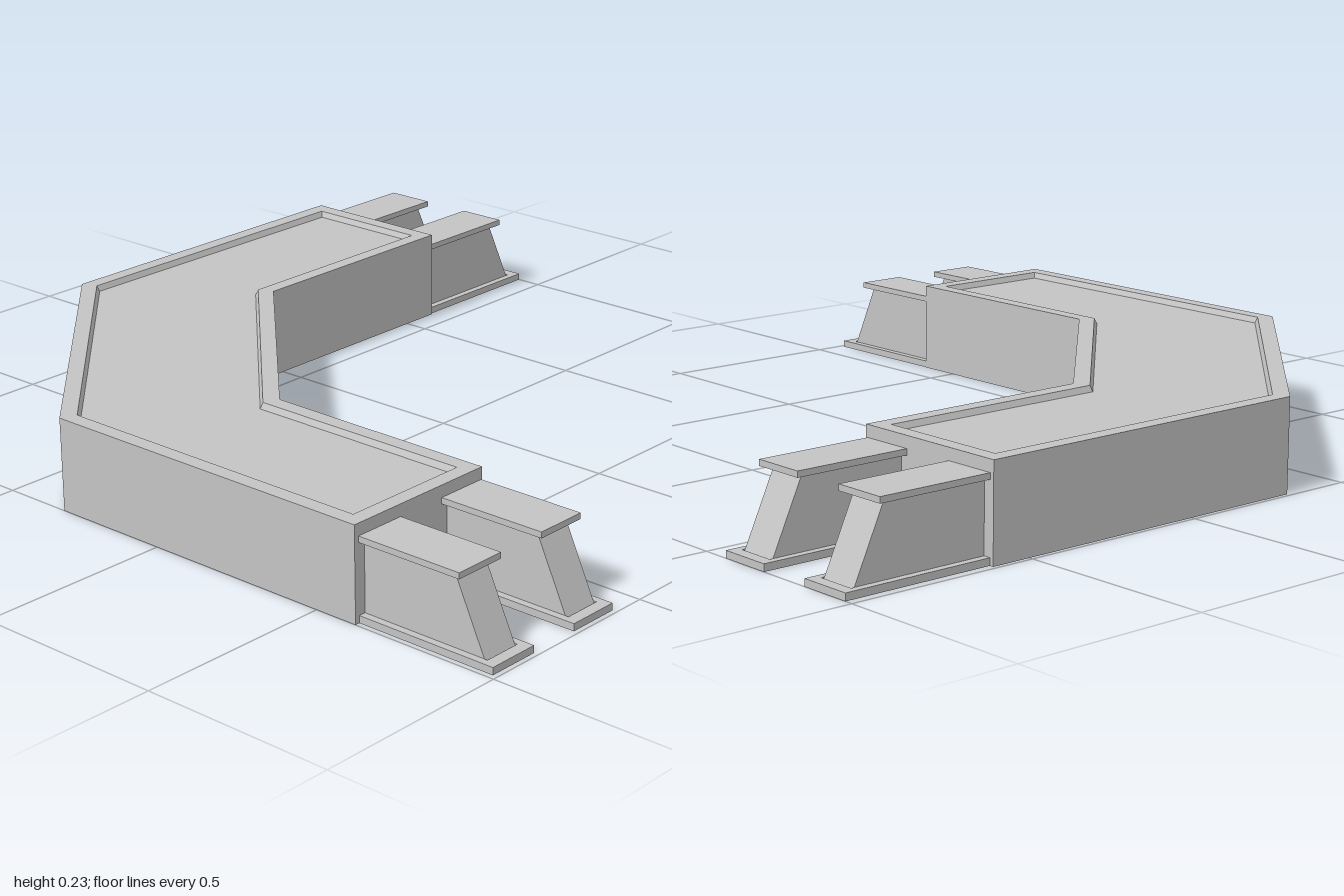
import * as THREE from 'three';

const steel = new THREE.MeshStandardMaterial({ color: 0xc4c4c4, side: THREE.DoubleSide, flatShading: true });
steel.name = 'grey steel';

// Plan of the bent trough as [x, z], running anticlockwise seen from above
const PLAN = [
  [-1, 0.615], [-0.58, 0.615], [-0.58, -0.01], [-0.03, -0.565],
  [0.605, -0.565], [0.605, -0.99], [-0.32, -0.99], [-1, -0.315],
];

// Move every edge of a plan inwards by d, with mitred corners
function inset(plan, d) {
  const n = plan.length;
  const normal = (i) => {
    const [a, b] = [plan[i % n], plan[(i + 1) % n]];
    const dx = b[0] - a[0], dz = b[1] - a[1], len = Math.hypot(dx, dz);
    return [dz / len, -dx / len];
  };
  return plan.map(([x, z], i) => {
    const p = normal(i + n - 1), q = normal(i);
    const k = d / (1 + p[0] * q[0] + p[1] * q[1]);
    return [x + (p[0] + q[0]) * k, z + (p[1] + q[1]) * k];
  });
}

// Flat quads from lists of four corners
function quads(list) {
  const pos = [];
  for (const [a, b, c, d] of list) pos.push(...a, ...b, ...c, ...a, ...c, ...d);
  const g = new THREE.BufferGeometry();
  g.setAttribute('position', new THREE.Float32BufferAttribute(pos, 3));
  g.computeVertexNormals();
  return g;
}

function add(parent, name, geometry) {
  const m = new THREE.Mesh(geometry, steel);
  m.name = name;
  parent.add(m);
  return m;
}

// Hollow I-section support reaching along +z, open underneath
function makeSupport(length) {
  const g = new THREE.Group();
  g.name = 'support';
  const W = 0.0675, w = 0.049, top = 0.19, foot = 0.018;
  const topEnd = length - 0.092, webTop = length - 0.118, webFoot = length - 0.03;

  const plate = add(g, 'topFlange', new THREE.BoxGeometry(2 * W, 0.015, topEnd));
  plate.position.set(0, top + 0.0075, topEnd / 2);

  // Web: two sides and a sloping end
  add(g, 'web', quads([
    [[w, 0, webFoot], [w, 0, 0], [w, top, 0], [w, top, webTop]],
    [[-w, 0, 0], [-w, 0, webFoot], [-w, top, webTop], [-w, top, 0]],
    [[-w, 0, webFoot], [w, 0, webFoot], [w, top, webTop], [-w, top, webTop]],
  ]));

  // Foot flange: a U-shaped rim around the open underside
  const u = new THREE.Shape([
    [-W, 0], [-w, 0], [-w, -webFoot], [w, -webFoot], [w, 0], [W, 0], [W, -length], [-W, -length],
  ].map(([x, y]) => new THREE.Vector2(x, y)));
  const rim = new THREE.ExtrudeGeometry(u, { depth: foot, bevelEnabled: false });
  add(g, 'footFlange', rim.rotateX(-Math.PI / 2));
  return g;
}

export function createModel() {
  const model = new THREE.Group();
  model.name = 'bentTrough';

  // Outer wall, raised rim and recess wall, open at the bottom
  const H = 0.235, floorY = 0.22;
  const rings = [[0, 0], [0, H], [0.04, H], [0.047, floorY]]
    .map(([d, y]) => inset(PLAN, d).map(([x, z]) => [x, y, z]));
  ['outerWall', 'rim', 'recessWall'].forEach((name, r) => {
    const lo = rings[r], hi = rings[r + 1];
    add(model, name, quads(lo.map((a, i) => {
      const j = (i + 1) % lo.length;
      return [a, lo[j], hi[j], hi[i]];
    })));
  });

  // Sunken deck
  const deckShape = new THREE.Shape(rings[3].map(([x, , z]) => new THREE.Vector2(x, -z)));
  const deck = add(model, 'deck', new THREE.ShapeGeometry(deckShape).rotateX(-Math.PI / 2));
  deck.position.y = floorY;

  // Two supports on each end
  for (const x of [-0.92, -0.65]) {
    const s = makeSupport(0.373);
    s.name = 'frontSupport';
    s.position.set(x, 0, 0.615);
    model.add(s);
  }
  for (const z of [-0.912, -0.638]) {
    const s = makeSupport(0.395);
    s.name = 'leftSupport';
    s.rotation.y = Math.PI / 2;
    s.position.set(0.605, 0, z);
    model.add(s);
  }
  return model;
}
